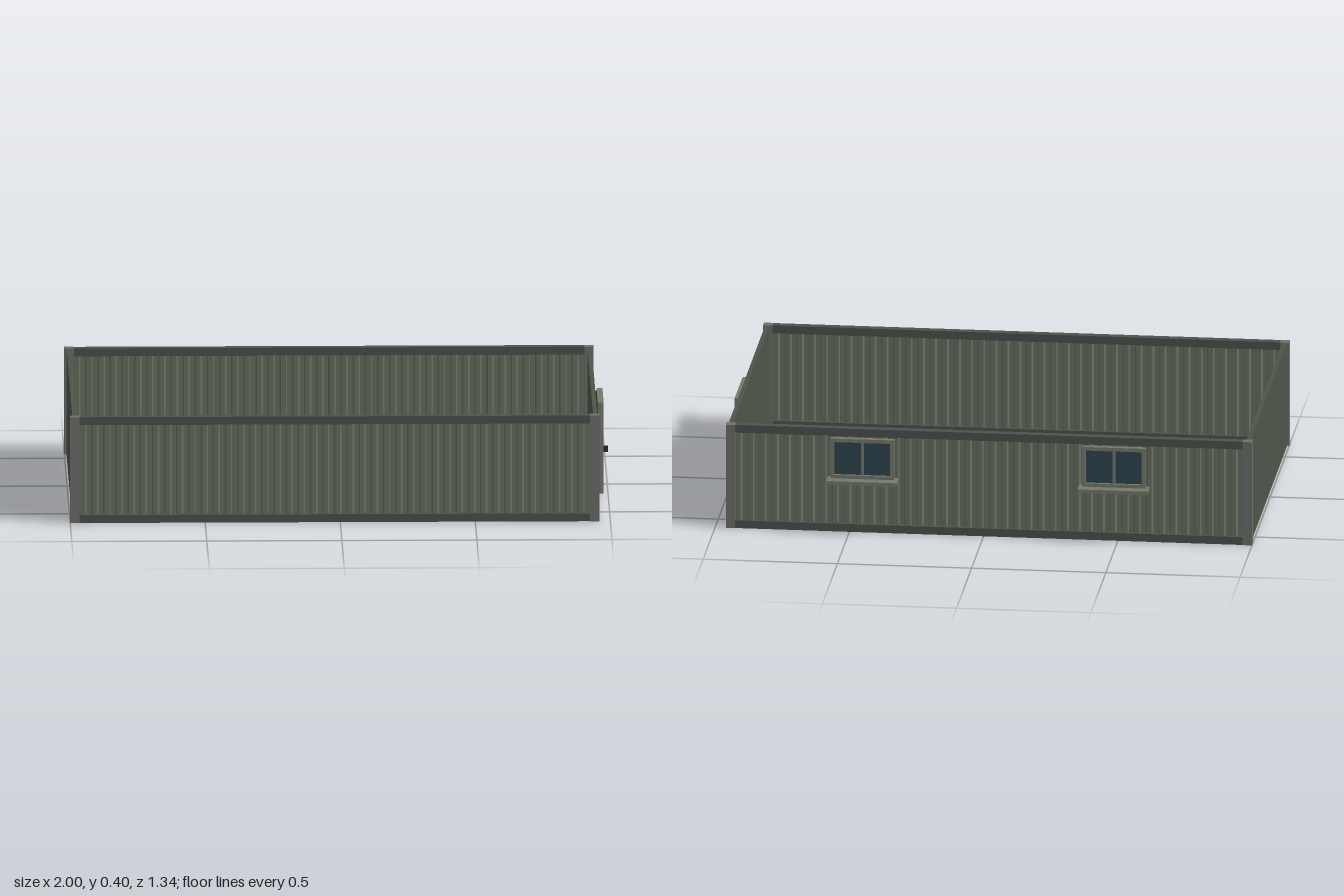
import * as THREE from 'three';

const X0 = -1, X1 = 0.96, Z0 = -0.605, Z1 = 0.67, H = 0.4, POST = 0.035;
const CX = (X0 + X1) / 2, CZ = (Z0 + Z1) / 2;

const paint = (color) => new THREE.MeshStandardMaterial({ color });
const postMat = paint(0x6e706c), railMat = paint(0x4c524c), sheetMat = paint(0x687060);
const wallMat = paint(0x4d5549), doorMat = paint(0x687060), trimMat = paint(0x747a6c);
const darkMat = paint(0x2b2e2a), glassMat = paint(0x2f434e), brownMat = paint(0x5a4636);

// Box given by its extents on each axis
function box(parent, name, mat, [xa, xb], [ya, yb], [za, zb]) {
  const mesh = new THREE.Mesh(new THREE.BoxGeometry(xb - xa, yb - ya, zb - za), mat);
  mesh.position.set((xa + xb) / 2, (ya + yb) / 2, (za + zb) / 2);
  mesh.name = name;
  parent.add(mesh);
  return mesh;
}

// Folded sheet: a trapezoid wave of constant thickness, extruded upwards
function corrugatedSheet(length, height, folds) {
  const pitch = length / folds, depth = 0.014, thick = 0.005, line = [];
  for (let i = 0; i < folds; i++) {
    for (const [t, d] of [[0.06, 0], [0.44, 0], [0.56, 1], [0.94, 1]]) {
      line.push([-length / 2 + (i + t) * pitch, (d - 0.5) * depth]);
    }
  }
  line.unshift([-length / 2, -depth / 2]);
  line.push([length / 2, depth / 2]);
  const outer = line.map(([x, y]) => new THREE.Vector2(x, y + thick / 2));
  const inner = line.map(([x, y]) => new THREE.Vector2(x, y - thick / 2)).reverse();
  const geo = new THREE.ExtrudeGeometry(new THREE.Shape([...inner.reverse(), ...outer.reverse()]),
    { depth: height, bevelEnabled: false });
  return geo.rotateX(-Math.PI / 2);
}

// Long wall with its rails, at depth z
function longWall(name, z) {
  const wall = new THREE.Group();
  wall.name = name;
  const xs = [X0 + POST, X1 - POST];
  const sheet = new THREE.Mesh(corrugatedSheet(xs[1] - xs[0], H - 0.05, 42), sheetMat);
  sheet.position.set(CX, 0.025, z);
  sheet.name = 'corrugatedSheet';
  wall.add(sheet);
  box(wall, 'bottomRail', railMat, xs, [0, 0.03], [z - 0.015, z + 0.015]);
  box(wall, 'topRail', railMat, xs, [H - 0.03, H], [z - 0.015, z + 0.015]);
  return wall;
}

// Window on the back wall, centred on x
function makeWindow(name, x) {
  const win = new THREE.Group();
  win.name = name;
  const w = 0.118, y0 = 0.215, y1 = 0.37, za = -0.635, zb = -0.615, f = 0.014;
  box(win, 'liner', brownMat, [-0.108, 0.108], [0.222, 0.357], [-0.615, -0.594]);
  box(win, 'glass', glassMat, [-w + f, w - f], [y0 + f, y1 - f], [-0.624, -0.612]);
  for (const s of [-1, 1]) {
    const edge = [s * w, s * (w - f)].sort((a, b) => a - b);
    box(win, 'frameSide', trimMat, edge, [y0, y1], [za, zb]);
  }
  box(win, 'frameTop', trimMat, [-w + f, w - f], [y1 - f, y1], [za, zb]);
  box(win, 'frameBottom', trimMat, [-w + f, w - f], [y0, y0 + f], [za, zb]);
  box(win, 'mullion', trimMat, [-0.005, 0.005], [y0 + f, y1 - f], [-0.631, zb]);
  box(win, 'sill', trimMat, [-0.13, 0.13], [0.202, 0.216], [-0.672, -0.608]);
  win.position.x = x;
  return win;
}

// Door on the +x end wall
function makeDoor() {
  const door = new THREE.Group();
  door.name = 'door';
  const xs = [0.962, 0.984], za = -0.097, zb = 0.167, f = 0.014, top = 0.344;
  box(door, 'backing', darkMat, [0.945, 0.967], [0, 0.335], [za + 0.01, zb - 0.01]);
  box(door, 'leaf', doorMat, [0.955, 0.974], [0.006, 0.325], [-0.079, 0.15]);
  box(door, 'jambRight', trimMat, xs, [0, top], [za, za + f]);
  box(door, 'jambLeft', trimMat, xs, [0, top], [zb - f, zb]);
  box(door, 'lintel', trimMat, xs, [top - f, top], [za + f, zb - f]);
  box(door, 'handlePlate', darkMat, [0.972, 0.98], [0.14, 0.176], [0.11, 0.122]);
  box(door, 'handle', darkMat, [0.978, 1], [0.147, 0.17], [0.113, 0.119]);
  return door;
}

export function createModel() {
  const model = new THREE.Group();
  model.name = 'containerWalls';

  // Corner posts
  for (const x of [X0, X1 - POST]) {
    for (const z of [Z0, Z1 - POST]) {
      box(model, 'cornerPost', postMat, [x, x + POST], [0, H], [z, z + POST]);
    }
  }

  // Long corrugated walls and plain end walls
  model.add(longWall('frontWall', Z1 - POST / 2), longWall('backWall', Z0 + POST / 2));
  const span = [Z0 + POST, Z1 - POST];
  box(model, 'leftEndWall', wallMat, [X1 - 0.024, X1 - 0.008], [0, H], span);
  box(model, 'rightEndWall', wallMat, [X0 + 0.008, X0 + 0.024], [0, H], span);

  // Openings
  model.add(makeDoor(), makeWindow('windowLeft', 0.448), makeWindow('windowRight', -0.488));
  return model;
}
